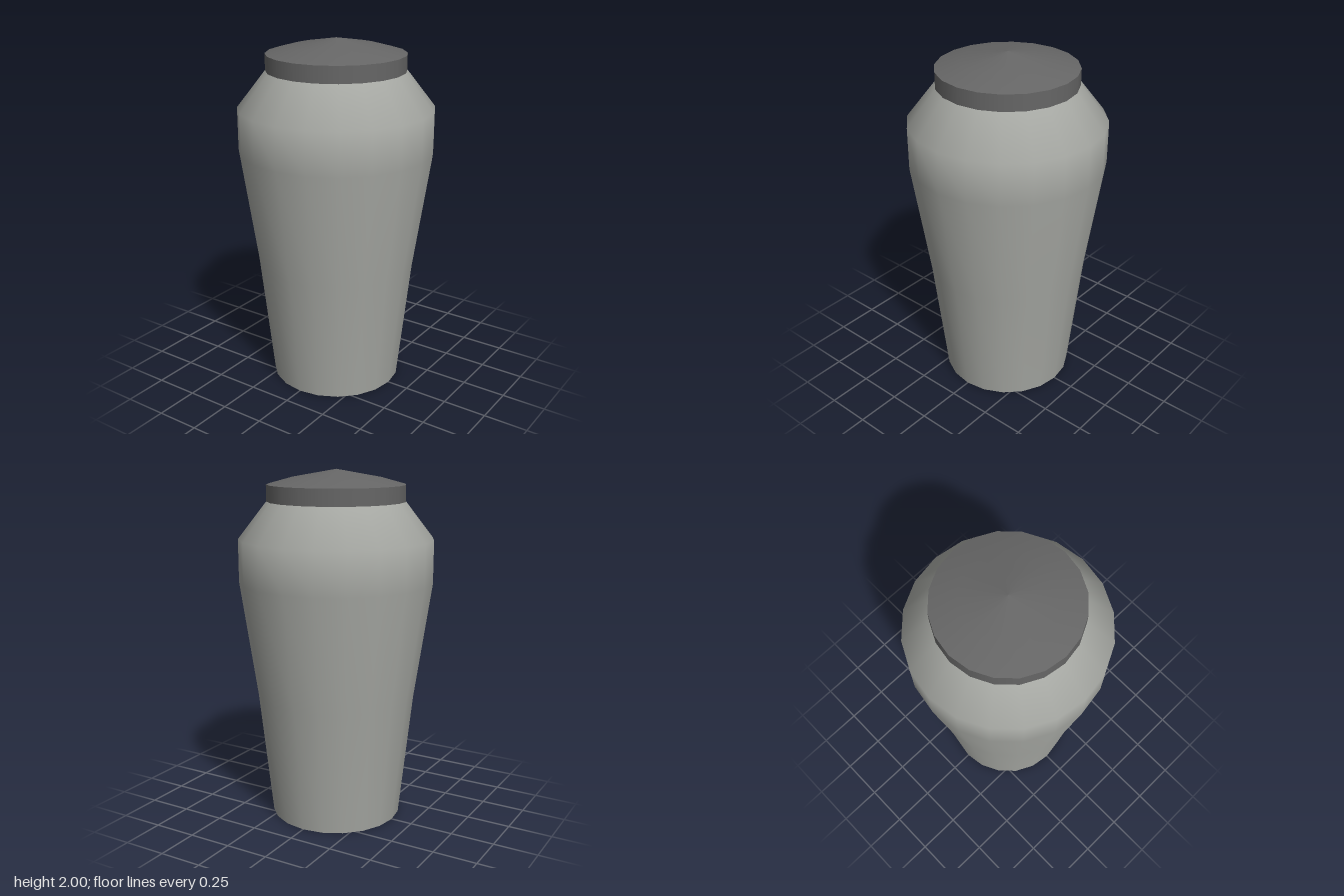
import * as THREE from 'three';

const SIDES = 20;

// Smooth surface of revolution from [radius, height] pairs, bottom to top
function turned(name, profile, material) {
  const points = profile.map(([r, y]) => new THREE.Vector2(r, y));
  const mesh = new THREE.Mesh(new THREE.LatheGeometry(points, SIDES), material);
  mesh.name = name;
  return mesh;
}

export function createModel() {
  const stone = new THREE.MeshStandardMaterial({ color: 0xa6a8a3 });
  stone.name = 'light grey stone';
  const dark = new THREE.MeshStandardMaterial({ color: 0x666666 });
  dark.name = 'dark grey lid';

  const urn = new THREE.Group();
  urn.name = 'urn';

  // Tapered body with a sloping shoulder, closed by a flat base
  const body = turned('body', [
    [0.375, 0], [0.452, 0.72], [0.548, 1.38], [0.548, 1.62], [0.388, 1.825],
  ], stone);
  const base = turned('base', [[0, 0], [0.375, 0]], stone);

  // Lid: flat underside, upright rim and shallow domed top, with sharp edges between
  const lid = new THREE.Group();
  lid.name = 'lid';
  lid.add(
    turned('lidUnderside', [[0, 1.825], [0.388, 1.825]], dark),
    turned('lidRim', [[0.388, 1.825], [0.388, 1.917]], dark),
    turned('lidTop', [[0.388, 1.917], [0.25, 1.955], [0, 2]], dark),
  );

  urn.add(body, base, lid);
  return urn;
}
